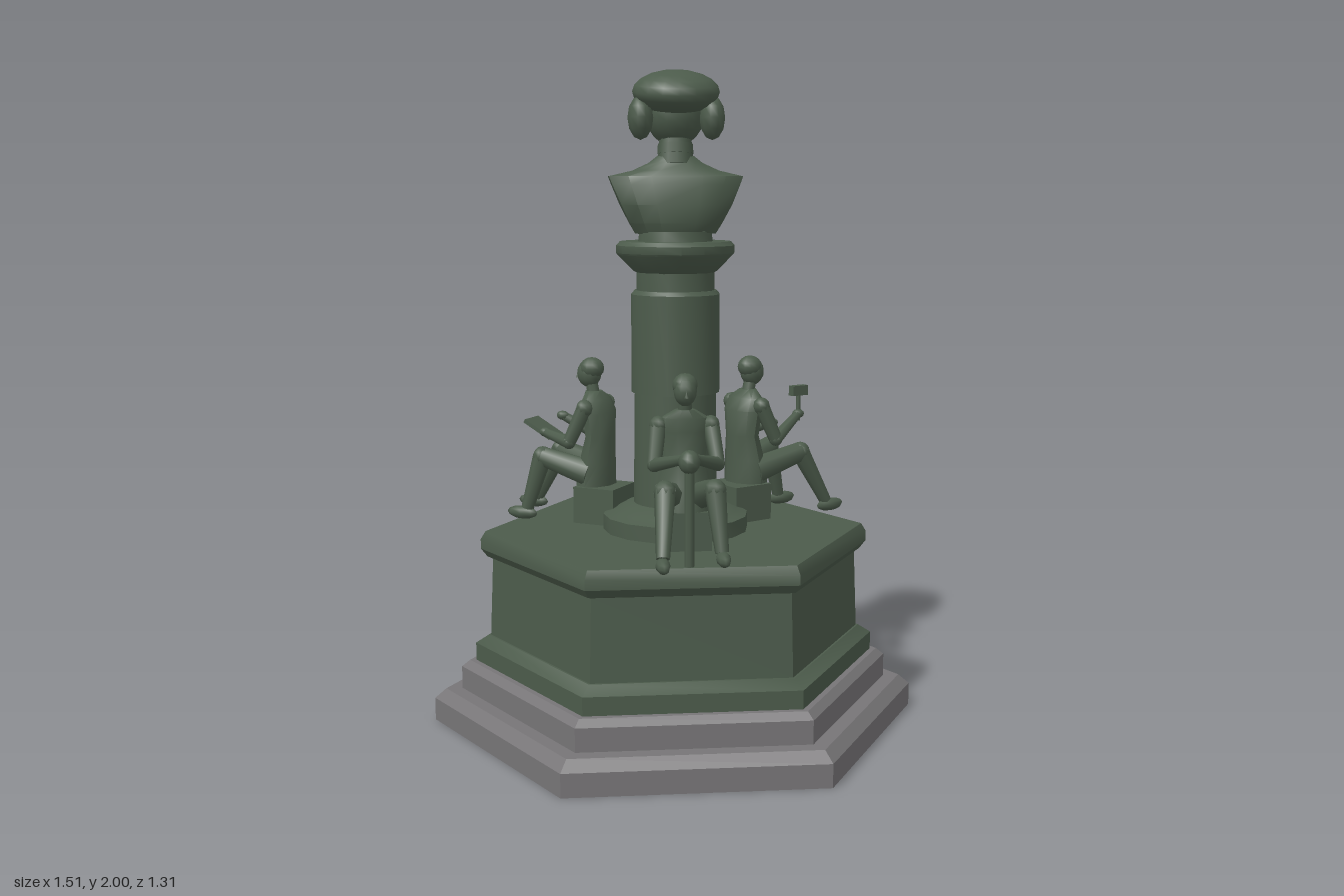
import * as THREE from 'three';
import { toCreasedNormals } from 'three/addons/utils/BufferGeometryUtils.js';

export function createModel() {
  const model = new THREE.Group();
  const bronze = new THREE.MeshStandardMaterial({ color: 0x4c5b4b });
  bronze.name = 'green bronze';
  const granite = new THREE.MeshStandardMaterial({ color: 0x777577 });
  granite.name = 'grey granite';

  const V = (x, y, z) => new THREE.Vector3(x, y, z);

  function add(parent, name, geometry, material = bronze) {
    const mesh = new THREE.Mesh(geometry, material);
    mesh.name = name;
    parent.add(mesh);
    return mesh;
  }

  // Turned profile of [radius, height] pairs
  function turned(profile, sides, crease = 0.6) {
    const points = profile.map(([r, y]) => new THREE.Vector2(r, y));
    return toCreasedNormals(new THREE.LatheGeometry(points, sides), crease);
  }

  function ellipsoid(parent, name, at, size, w = 12, h = 8) {
    const mesh = add(parent, name, new THREE.SphereGeometry(1, w, h));
    mesh.position.copy(at);
    mesh.scale.copy(size);
    return mesh;
  }

  // Tapered round bar from a to b
  function limb(parent, name, a, b, ra, rb, sides = 8) {
    const dir = b.clone().sub(a);
    const mesh = add(parent, name, new THREE.CylinderGeometry(rb, ra, dir.length(), sides));
    mesh.position.copy(a).add(b).multiplyScalar(0.5);
    mesh.quaternion.setFromUnitVectors(V(0, 1, 0), dir.normalize());
    return mesh;
  }

  // Closed skin over rings of points stacked upwards
  function loft(rings, crease) {
    const pos = [];
    const n = rings[0].length;
    const tri = (...corners) => corners.forEach((p) => pos.push(p.x, p.y, p.z));
    for (let k = 0; k < rings.length - 1; k++) {
      for (let i = 0; i < n; i++) {
        const j = (i + 1) % n;
        const [a, b, c, d] = [rings[k][i], rings[k][j], rings[k + 1][i], rings[k + 1][j]];
        tri(a, c, b);
        tri(b, c, d);
      }
    }
    for (const [ring, up] of [[rings[0], false], [rings[rings.length - 1], true]]) {
      const mid = ring.reduce((s, p) => s.add(p), V(0, 0, 0)).divideScalar(n);
      for (let i = 0; i < n; i++) {
        const j = (i + 1) % n;
        if (up) tri(mid, ring[j], ring[i]);
        else tri(mid, ring[i], ring[j]);
      }
    }
    const g = new THREE.BufferGeometry();
    g.setAttribute('position', new THREE.Float32BufferAttribute(pos, 3));
    return toCreasedNormals(g, crease);
  }

  // Six-sided steps and pedestal
  const hex = (name, profile, material) => {
    add(model, name, turned(profile, 6), material).rotation.y = Math.PI / 6;
  };
  hex('lowerStep', [[0, 0], [0.755, 0], [0.755, 0.07], [0.72, 0.1], [0, 0.1]], granite);
  hex('upperStep', [[0, 0.1], [0.67, 0.1], [0.67, 0.17], [0.645, 0.19], [0, 0.19]], granite);
  hex('pedestal', [[0, 0.19], [0.625, 0.19], [0.625, 0.245], [0.585, 0.27], [0.578, 0.27],
    [0.568, 0.515], [0.585, 0.52], [0.605, 0.545], [0.605, 0.575], [0.59, 0.6], [0, 0.6]], bronze);

  // Round wreath with a shallow disc on the rear face
  const medallion = add(model, 'medallion', turned([[0, 0], [0.133, 0], [0.133, 0.022], [0.122, 0.037],
    [0.1, 0.037], [0.086, 0.018], [0, 0.018]], 20));
  medallion.rotation.x = -Math.PI / 2;
  medallion.position.set(0, 0.39, -0.497);

  // Column
  add(model, 'columnBase', turned([[0, 0.6], [0.225, 0.6], [0.225, 0.648], [0.19, 0.66],
    [0.145, 0.685], [0, 0.685]], 16));
  add(model, 'columnShaft', turned([[0, 0.68], [0.13, 0.68], [0.126, 1.03], [0.136, 1.03], [0.136, 1.33],
    [0.126, 1.342], [0.12, 1.342], [0.12, 1.41]], 24));
  add(model, 'columnCapital', turned([[0.118, 1.395], [0.128, 1.4], [0.178, 1.45], [0.181, 1.455],
    [0.181, 1.478], [0.17, 1.49], [0, 1.49]], 16));

  // Bust: rings with flat cut ends at the shoulders
  const bust = new THREE.Group();
  bust.name = 'bust';
  model.add(bust);
  add(bust, 'bustFoot', turned([[0, 1.485], [0.115, 1.485], [0.11, 1.52], [0, 1.52]], 16));
  const bustRings = [ // height, half width, half depth, half width of cut end
    [1.513, 0.122, 0.09, 0.015], [1.545, 0.14, 0.102, 0.03], [1.6, 0.167, 0.1, 0.052],
    [1.66, 0.193, 0.088, 0.038], [1.685, 0.203, 0.078, 0.03], [1.702, 0.13, 0.066, 0.028],
    [1.725, 0.08, 0.052, 0.022], [1.745, 0.055, 0.042, 0.018],
  ].map(([y, w, d, e]) => {
    const ring = [];
    for (const [sx, sz] of [[1, 1], [-1, 1], [-1, -1], [1, -1]]) {
      const quarter = [[1, e], [0.72, e + (d - e) * 0.66], [0.38, e + (d - e) * 0.94]];
      if (sx * sz < 0) quarter.reverse();
      quarter.forEach(([fx, z]) => ring.push(V(sx * w * fx, y, sz * z - 0.004)));
    }
    return ring;
  });
  add(bust, 'bustChest', loft(bustRings, 0.6));
  limb(bust, 'neck', V(0, 1.72, 0), V(0, 1.83, -0.01), 0.056, 0.046, 12);
  limb(bust, 'choker', V(0, 1.752, -0.002), V(0, 1.782, -0.005), 0.055, 0.053, 12);

  // Head looking to the rear
  ellipsoid(bust, 'head', V(0, 1.872, -0.018), V(0.09, 0.098, 0.09), 16, 12);
  ellipsoid(bust, 'chin', V(0, 1.815, -0.06), V(0.048, 0.03, 0.042));
  const nose = add(bust, 'nose', new THREE.ConeGeometry(0.016, 0.05, 4));
  nose.position.set(0, 1.858, -0.11);
  nose.rotation.x = -0.5;
  ellipsoid(bust, 'cap', V(0, 1.935, 0.018), V(0.132, 0.065, 0.128), 16, 10).rotation.x = 0.16;
  for (const s of [-1, 1]) {
    ellipsoid(bust, 'hairBunch', V(s * 0.108, 1.858, 0.03), V(0.039, 0.066, 0.06), 10, 6);
    ellipsoid(bust, 'eye', V(s * 0.035, 1.87, -0.094), V(0.016, 0.009, 0.012), 8, 6);
  }

  // Seated figures share a body and differ in their hands and what they hold
  const bodyRings = [ // height, centre z, half width, half depth
    [0.718, 0.278, 0.08, 0.062], [0.79, 0.272, 0.076, 0.055], [0.87, 0.262, 0.063, 0.045],
    [0.95, 0.265, 0.076, 0.047], [0.99, 0.275, 0.07, 0.038], [1.015, 0.284, 0.03, 0.026],
  ].map(([y, z, w, d]) => Array.from({ length: 10 }, (_, i) => {
    const t = (i / 10) * Math.PI * 2;
    return V(w * Math.cos(t), y, z + d * Math.sin(t));
  }));
  const bodyGeometry = loft(bodyRings, 0.8);

  function seatedFigure(name, angle, hands) {
    const f = new THREE.Group();
    f.name = name;
    f.rotation.y = angle;
    model.add(f);
    add(f, 'seat', new THREE.BoxGeometry(0.154, 0.115, 0.14)).position.set(0, 0.6575, 0.25);
    add(f, 'torso', bodyGeometry);
    limb(f, 'figureNeck', V(0, 1, 0.284), V(0, 1.05, 0.294), 0.021, 0.019);
    ellipsoid(f, 'figureHead', V(0, 1.07, 0.3), V(0.034, 0.045, 0.04));
    ellipsoid(f, 'figureHair', V(0, 1.086, 0.291), V(0.037, 0.035, 0.04));
    const figureNose = add(f, 'figureNose', new THREE.ConeGeometry(0.007, 0.02, 4));
    figureNose.position.set(0, 1.064, 0.341);
    for (const s of [-1, 1]) {
      // Leg, with the right one stretched further
      const reach = s < 0 ? 0.06 : 0;
      const knee = V(s * 0.072, 0.805, 0.432 + reach * 0.2);
      const ankle = V(s * 0.086, 0.635, 0.482 + reach);
      limb(f, 'thigh', V(s * 0.045, 0.758, 0.28), knee, 0.044, 0.032);
      ellipsoid(f, 'knee', knee, V(0.032, 0.032, 0.032), 8, 6);
      limb(f, 'shin', knee, ankle, 0.031, 0.02);
      ellipsoid(f, 'shoe', V(s * 0.088, 0.62, 0.5 + reach), V(0.021, 0.021, 0.055), 8, 6);
      // Arm
      const shoulder = V(s * 0.077, 0.968, 0.278);
      const elbow = V(s * 0.092, 0.86, 0.325);
      const hand = hands[s < 0 ? 0 : 1];
      ellipsoid(f, 'shoulder', shoulder, V(0.026, 0.028, 0.028), 8, 6);
      limb(f, 'upperArm', shoulder, elbow, 0.025, 0.021);
      ellipsoid(f, 'elbow', elbow, V(0.022, 0.022, 0.022), 8, 6);
      limb(f, 'forearm', elbow, hand, 0.021, 0.014);
      ellipsoid(f, 'hand', hand, V(0.016, 0.015, 0.022), 8, 6);
    }
    return f;
  }

  // Front figure leaning on a staff
  const staffFigure = seatedFigure('staffFigure', 0, [V(-0.02, 0.9, 0.465), V(0.012, 0.9, 0.465)]);
  limb(staffFigure, 'staff', V(-0.008, 0.6, 0.495), V(-0.008, 0.9, 0.495), 0.014, 0.014);
  ellipsoid(staffFigure, 'staffKnob', V(-0.008, 0.897, 0.493), V(0.031, 0.034, 0.034), 10, 8);

  // Figure with a tilted open book
  const bookFigure = seatedFigure('bookFigure', -Math.PI * 2 / 3, [V(-0.05, 0.92, 0.425), V(0.055, 0.88, 0.43)]);
  const book = add(bookFigure, 'book', new THREE.BoxGeometry(0.085, 0.012, 0.105));
  book.position.set(0.008, 0.885, 0.465);
  book.rotation.x = -0.5;

  // Figure raising a mallet
  const malletFigure = seatedFigure('malletFigure', Math.PI * 2 / 3, [V(-0.056, 0.927, 0.447), V(0.055, 0.885, 0.43)]);
  limb(malletFigure, 'malletHandle', V(-0.056, 0.905, 0.447), V(-0.056, 1, 0.447), 0.007, 0.007);
  add(malletFigure, 'malletHead', new THREE.BoxGeometry(0.024, 0.032, 0.06)).position.set(-0.056, 1.003, 0.447);

  return model;
}
